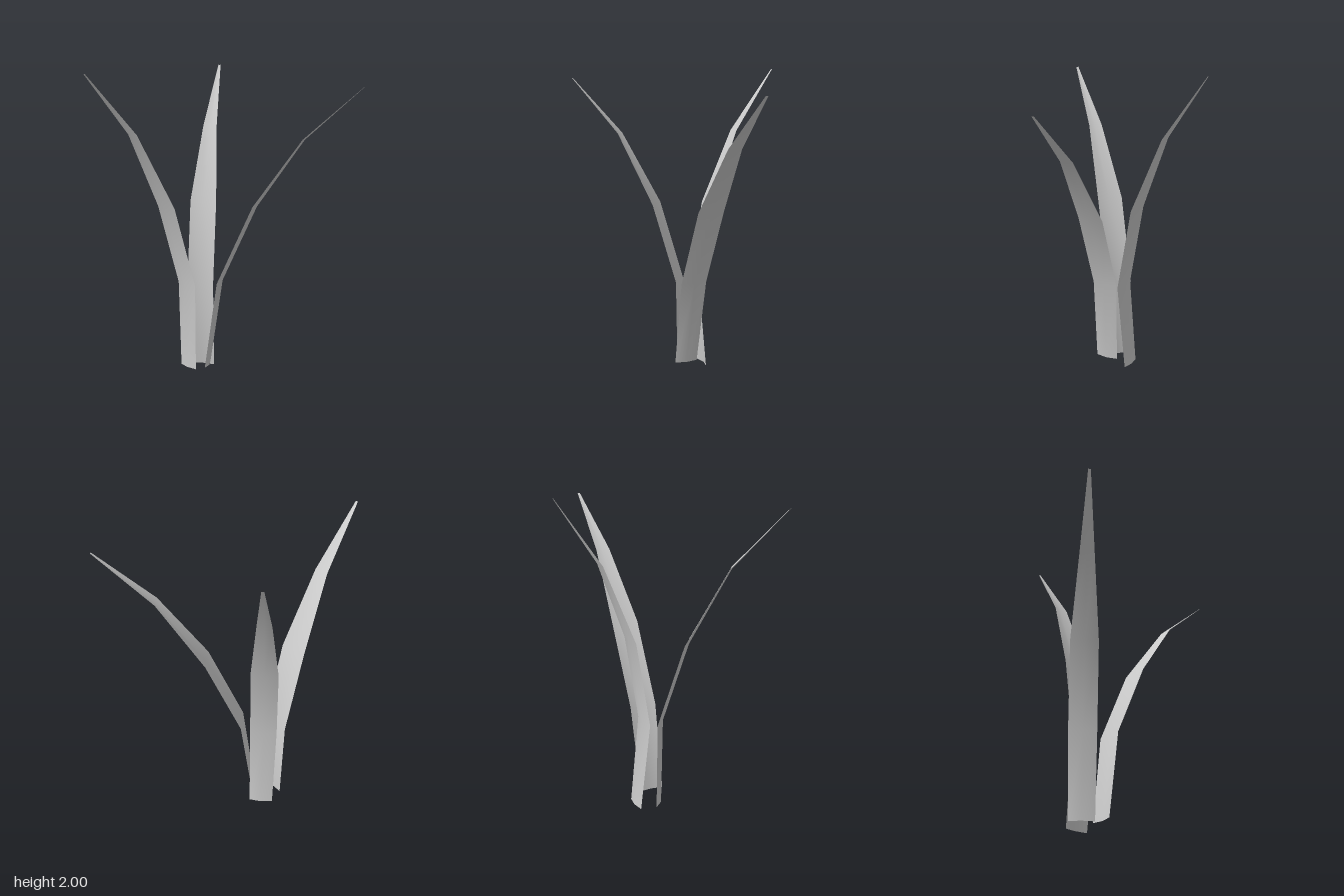
import * as THREE from 'three';

const material = new THREE.MeshStandardMaterial({ color: 0xcccccc, side: THREE.DoubleSide });

// Blade widths from base to tip, shared by every leaf
const WIDTHS = [0.155, 0.175, 0.175, 0.092, 0.016];
const FOLD = 0.08; // depth of the centre crease relative to the width

// A leaf is a strip of three columns (edge, crease, edge) swept along its spine.
// spine: centre points of the rows; heading: angle in the xz plane the leaf bends towards
function makeLeaf(name, spine, heading) {
  const out = new THREE.Vector3(Math.cos(heading), 0, Math.sin(heading));
  const across = new THREE.Vector3(-out.z, 0, out.x);
  const points = spine.map((p) => new THREE.Vector3(...p));
  const last = points.length - 1;
  const positions = [];
  const indices = [];

  points.forEach((p, row) => {
    const tangent = points[Math.min(row + 1, last)].clone().sub(points[Math.max(row - 1, 0)]);
    // the crease is pushed to the outer, lower side of the blade
    const outward = new THREE.Vector3().crossVectors(across, tangent).normalize();
    if (outward.dot(out) < 0) outward.negate();
    for (const side of [-1, 0, 1]) {
      const v = p.clone()
        .addScaledVector(across, side * WIDTHS[row] / 2)
        .addScaledVector(outward, side === 0 ? FOLD * WIDTHS[row] : 0);
      positions.push(v.x, v.y, v.z);
    }
  });

  for (let row = 0; row < last; row++) {
    for (let col = 0; col < 2; col++) {
      const a = row * 3 + col;
      const b = a + 3;
      indices.push(a, a + 1, b, a + 1, b + 1, b);
    }
  }

  const geometry = new THREE.BufferGeometry();
  geometry.setAttribute('position', new THREE.Float32BufferAttribute(positions, 3));
  geometry.setIndex(indices);
  geometry.computeVertexNormals();
  const mesh = new THREE.Mesh(geometry, material);
  mesh.name = name;
  return mesh;
}

export function createModel() {
  const group = new THREE.Group();
  group.name = 'leafTuft';

  // Leaf arching to the left, drifting slightly backwards
  group.add(makeLeaf('leftLeaf', [
    [-0.2, 0.05, 0.03],
    [-0.122, 0.61, 0.003],
    [0.105, 1.11, -0.022],
    [0.41, 1.535, -0.045],
    [0.78, 1.86, -0.067],
  ], 0));

  // Leaf arching to the back
  group.add(makeLeaf('backLeaf', [
    [-0.27, 0.005, -0.113],
    [-0.27, 0.57, -0.058],
    [-0.27, 1.11, -0.152],
    [-0.27, 1.595, -0.345],
    [-0.27, 2.0, -0.625],
  ], -Math.PI / 2));

  // Leaf arching to the front right
  group.add(makeLeaf('frontRightLeaf', [
    [-0.333, 0.022, 0.019],
    [-0.34, 0.585, 0.021],
    [-0.435, 1.105, 0.148],
    [-0.581, 1.575, 0.352],
    [-0.776, 1.94, 0.62],
  ], Math.atan2(0.8, -0.6)));

  return group;
}
